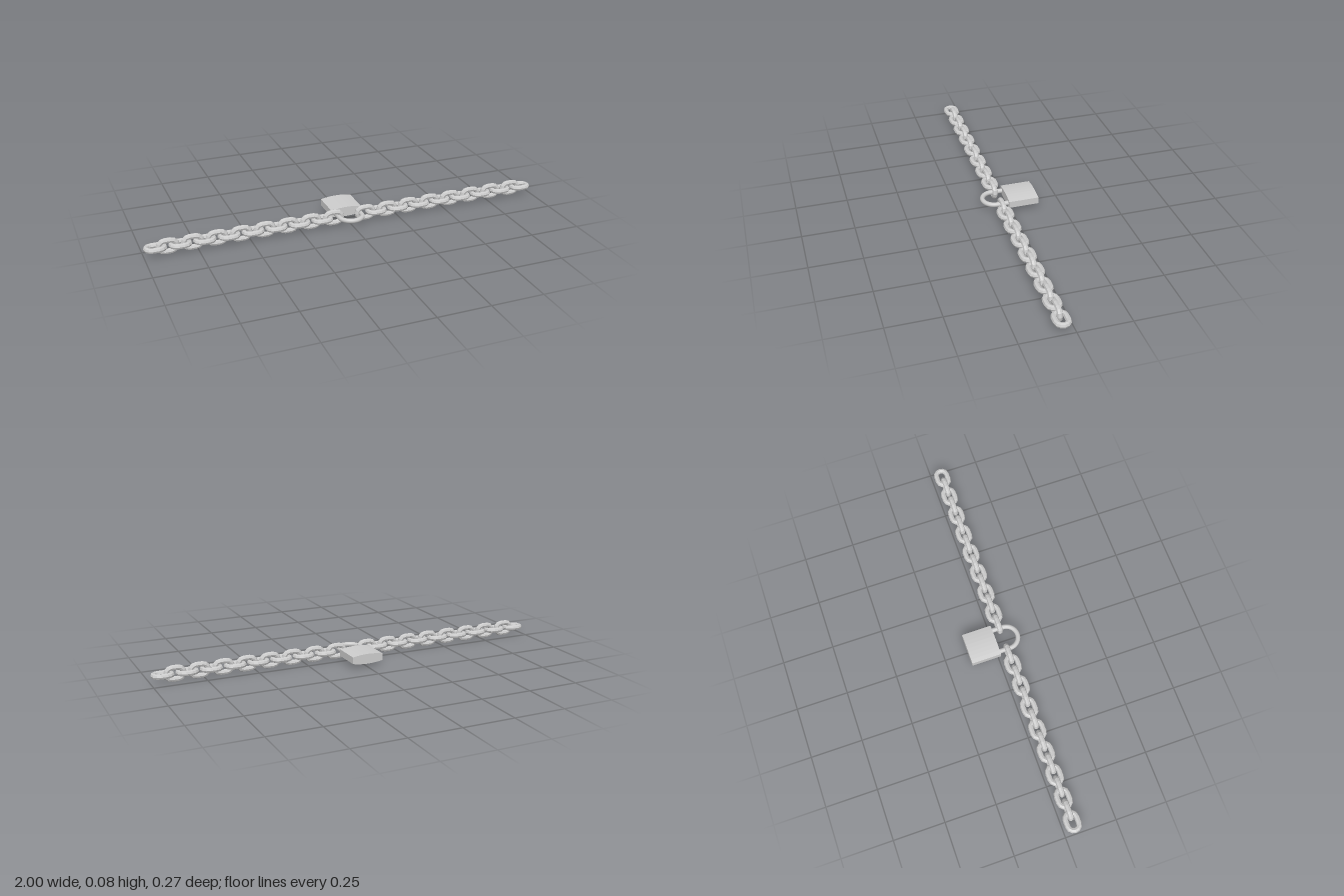
import * as THREE from 'three';

const CHAIN_Y = 0.041, CHAIN_Z = 0.05;
const WIRE = 0.013, BEND = 0.027, STRAIGHT = 0.015;
const PITCH = 0.0575, FIRST = 0.083, LINKS_PER_SIDE = 16;

// Oval link lying in the XY plane: a torus split into two half rings pulled apart along x
function linkGeometry() {
  const arc = 6, sides = 8, around = 2 * (arc + 1);
  const geo = new THREE.TorusGeometry(BEND, WIRE, sides, around);
  const pos = geo.attributes.position;
  for (let i = 0; i < pos.count; i++) {
    const j = (i % (around + 1)) % around;
    const ring = Math.floor(i / (around + 1));
    const half = j > arc ? 1 : 0;
    const a = -Math.PI / 2 + half * Math.PI + ((j - half * (arc + 1)) / arc) * Math.PI;
    const v = (ring / sides) * Math.PI * 2;
    const r = BEND + WIRE * Math.cos(v);
    pos.setXYZ(i, r * Math.cos(a) + (half ? -STRAIGHT : STRAIGHT), r * Math.sin(a), WIRE * Math.sin(v));
  }
  geo.computeVertexNormals();
  return geo;
}

// Padlock body: straight sides with arched faces, extruded along z
function bodyGeometry() {
  const half = 0.078, side = 0.0165, bulge = 0.008, steps = 8;
  const points = [];
  for (const s of [1, -1]) {
    for (let i = 0; i <= steps; i++) {
      const t = 1 - (2 * i) / steps;
      points.push(new THREE.Vector2(s * half * t, s * (side + bulge * (1 - t * t))));
    }
  }
  return new THREE.ExtrudeGeometry(new THREE.Shape(points), { depth: 0.147, bevelEnabled: false });
}

// U-shaped shackle path: two legs joined by a half circle
function shackleGeometry() {
  const r = 0.057, bend = 0.067, points = [];
  for (const z of [-0.01, 0.02, 0.045]) points.push(new THREE.Vector3(r, 0, z));
  for (let i = 0; i <= 12; i++) {
    const a = (i / 12) * Math.PI;
    points.push(new THREE.Vector3(r * Math.cos(a), 0, bend + r * Math.sin(a)));
  }
  for (const z of [0.045, 0.02, -0.01]) points.push(new THREE.Vector3(-r, 0, z));
  return new THREE.TubeGeometry(new THREE.CatmullRomCurve3(points), 48, 0.0115, 14);
}

export function createModel() {
  const model = new THREE.Group();
  const smooth = new THREE.MeshStandardMaterial({ color: 0xcccccc });
  const faceted = new THREE.MeshStandardMaterial({ color: 0xcccccc, flatShading: true });

  // Two chain halves, links alternately upright and flat
  const link = linkGeometry();
  for (const s of [-1, 1]) {
    const chain = new THREE.Group();
    chain.name = s > 0 ? 'leftChain' : 'rightChain';
    for (let k = 0; k < LINKS_PER_SIDE; k++) {
      const upright = k % 2 === 0;
      const mesh = new THREE.Mesh(link, faceted);
      mesh.name = upright ? 'uprightLink' : 'flatLink';
      mesh.position.set(s * (FIRST + k * PITCH), CHAIN_Y, CHAIN_Z);
      if (!upright) mesh.rotation.x = Math.PI / 2;
      chain.add(mesh);
    }
    model.add(chain);
  }

  // Padlock joining the two halves
  const padlock = new THREE.Group();
  padlock.name = 'padlock';
  padlock.position.y = CHAIN_Y + 0.001;
  const body = new THREE.Mesh(bodyGeometry(), faceted);
  body.name = 'padlockBody';
  body.position.z = -0.135;
  const shackle = new THREE.Mesh(shackleGeometry(), smooth);
  shackle.name = 'shackle';
  padlock.add(body, shackle);
  model.add(padlock);

  return model;
}
